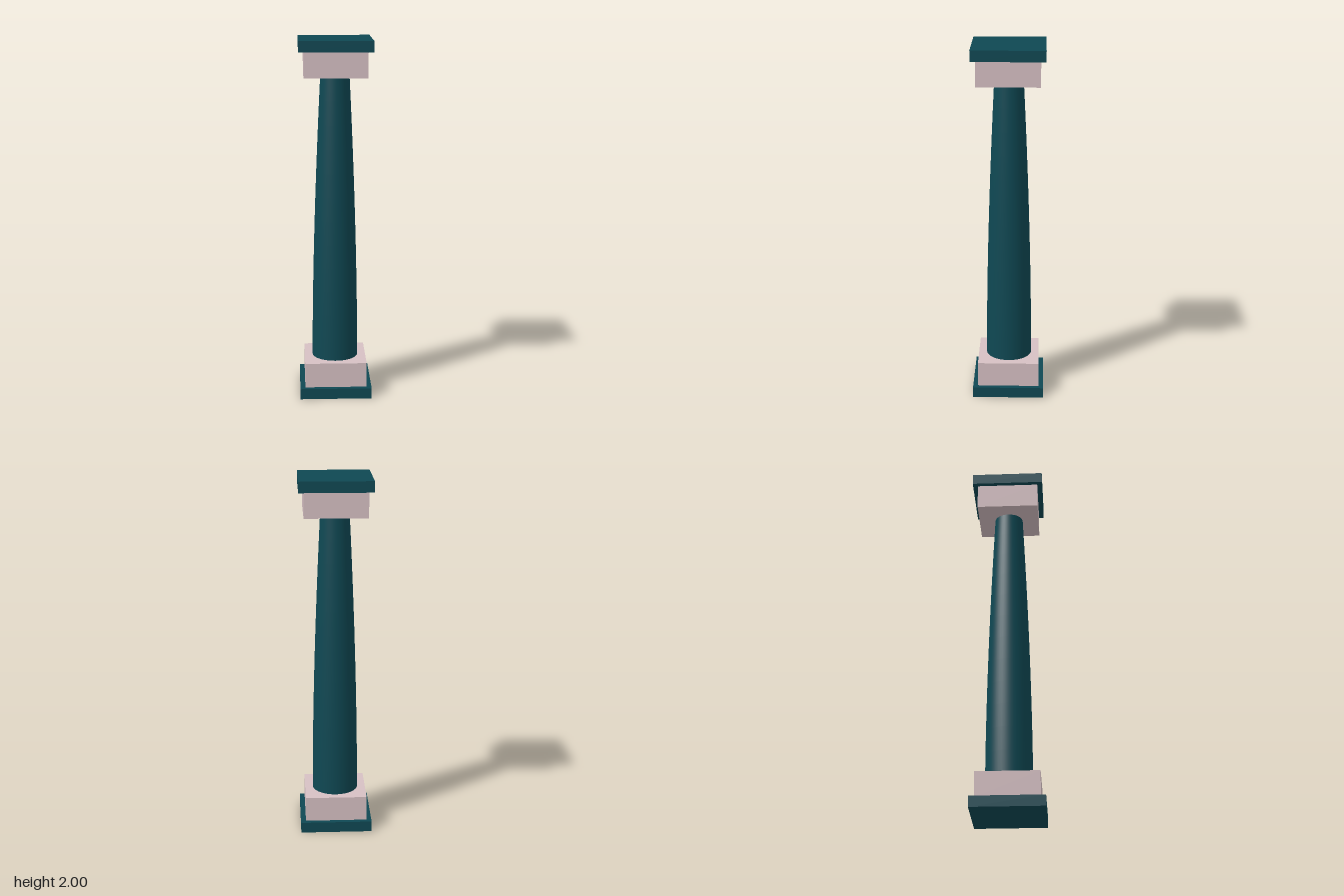
import * as THREE from 'three';

export function createModel() {
  const column = new THREE.Group();
  column.name = 'column';
  const teal = new THREE.MeshStandardMaterial({ name: 'dark teal', color: 0x0f4853 });
  const pink = new THREE.MeshStandardMaterial({ name: 'pale pink stone', color: 0xd6c0c3 });

  const add = (name, geometry, material, y) => {
    const mesh = new THREE.Mesh(geometry, material);
    mesh.name = name;
    mesh.position.y = y;
    column.add(mesh);
  };

  // Square slabs and blocks, mirrored at the foot and the head
  const slab = new THREE.BoxGeometry(0.4, 0.06, 0.4);
  const block = new THREE.BoxGeometry(0.345, 0.14, 0.345);
  add('baseSlab', slab, teal, 0.03);
  add('baseBlock', block, pink, 0.13);
  add('capitalBlock', block, pink, 1.87);
  add('capitalSlab', slab, teal, 1.97);

  // Round shaft, swelling gently as it tapers upwards
  const steps = 12;
  const profile = [];
  for (let i = 0; i <= steps; i++) {
    const t = i / steps;
    profile.push(new THREE.Vector2(0.128 - 0.048 * t ** 1.7, 1.6 * t));
  }
  add('shaft', new THREE.LatheGeometry(profile, 48), teal, 0.2);

  return column;
}
